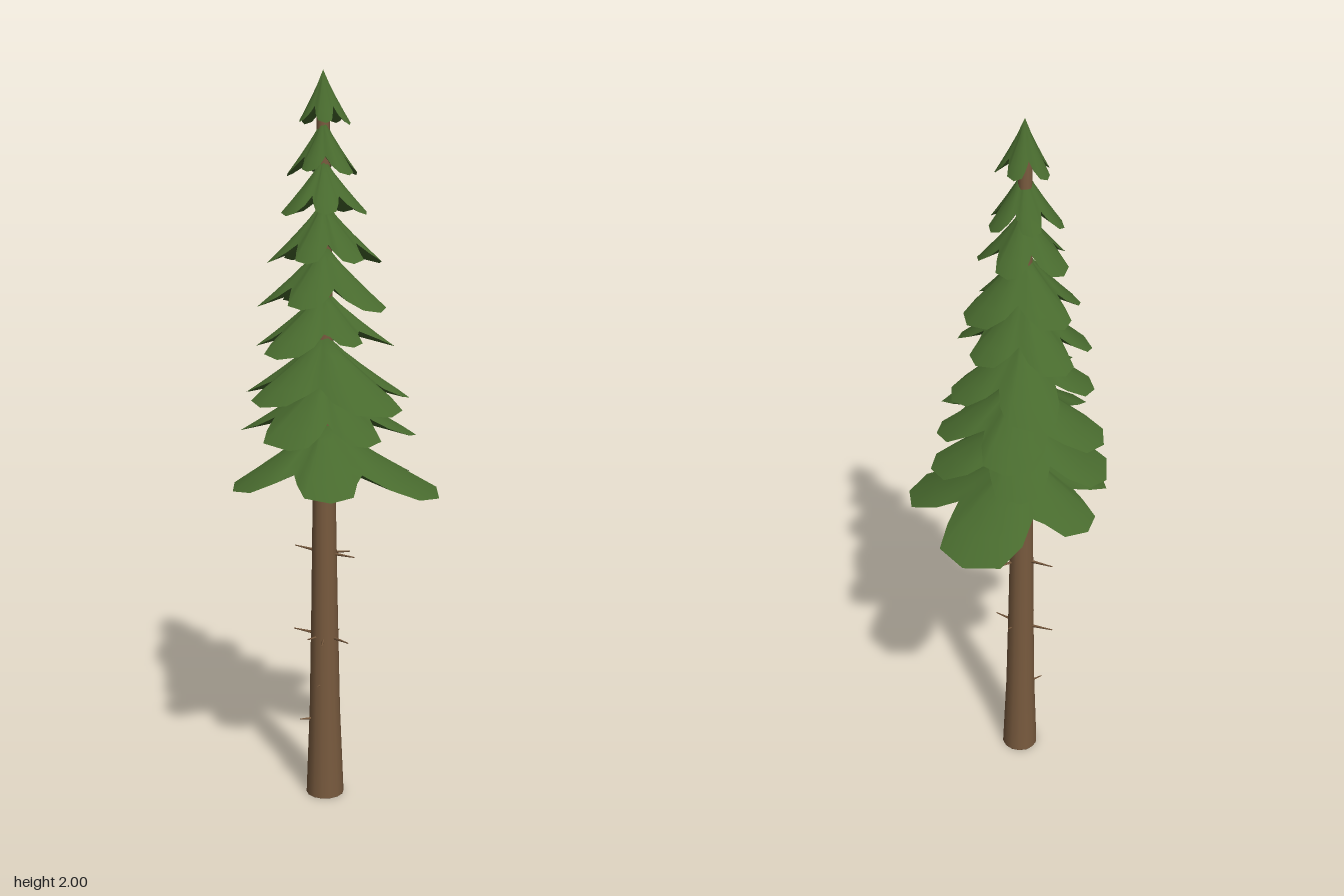
import * as THREE from 'three';

// Each tier: top height, rim height of the longest lobe, then [angle in degrees, length] of its lobes
// (0 degrees points to +x, 90 degrees to +z)
const TIERS = [
  { top: 2.0, tip: 1.86, lobes: [[-12, 0.075], [48, 0.07], [125, 0.065], [190, 0.07], [265, 0.065]] },
  { top: 1.88, tip: 1.73, lobes: [[10, 0.095], [85, 0.08], [160, 0.1], [228, 0.09], [300, 0.095]] },
  { top: 1.78, tip: 1.63, lobes: [[-15, 0.12], [52, 0.115], [105, 0.125], [190, 0.125], [262, 0.115]] },
  { top: 1.67, tip: 1.5, lobes: [[20, 0.14], [72, 0.14], [140, 0.15], [200, 0.155], [300, 0.165]] },
  { top: 1.56, tip: 1.385, lobes: [[2, 0.187], [75, 0.16], [150, 0.18], [205, 0.18], [290, 0.16]] },
  { top: 1.44, tip: 1.27, lobes: [[20, 0.14], [88, 0.215], [158, 0.19], [235, 0.22], [308, 0.2]] },
  { top: 1.32, tip: 1.13, lobes: [[17, 0.285], [100, 0.23], [172, 0.23], [252, 0.235], [325, 0.23]] },
  { top: 1.21, tip: 1.04, lobes: [[-38, 0.25], [25, 0.23], [76, 0.24], [174, 0.245], [243, 0.22]] },
  { top: 1.09, tip: 0.89, lobes: [[-90, 0.325], [-16, 0.325], [50, 0.245], [124, 0.26], [192, 0.235]] },
];
const AXIS = [-0.036, 0.043];

// Outline of a tier: a valley, two side points, two shoulders and a tip for every lobe
function tierRim({ top, tip, lobes }) {
  const longest = Math.max(...lobes.map((l) => l[1]));
  const n = lobes.length;
  const rim = [];
  const add = (deg, r, drop) => {
    const a = THREE.MathUtils.degToRad(deg);
    rim.push({ x: Math.cos(a) * r, z: Math.sin(a) * r, drop: (top - tip) * drop });
  };
  const list = [...lobes].sort((a, b) => a[0] - b[0]);
  list.forEach(([angle, len], i) => {
    const next = list[(i + 1) % n];
    const prev = list[(i + n - 1) % n];
    const gapNext = (next[0] - angle + 360) % 360;
    const gapPrev = (angle - prev[0] + 360) % 360;
    const f = 0.6 + 0.4 * (len / longest);
    add(angle - gapPrev * 0.37, len * 0.74, 0.82 * f);
    add(angle - gapPrev * 0.23, len * 0.94, 0.95 * f);
    add(angle, len, f);
    add(angle + gapNext * 0.23, len * 0.94, 0.95 * f);
    add(angle + gapNext * 0.37, len * 0.74, 0.82 * f);
    add(angle + gapNext * 0.5, (len + next[1]) * 0.29, 0.66);
  });
  return rim;
}

function makeGeometry(positions, index) {
  const g = new THREE.BufferGeometry();
  g.setAttribute('position', new THREE.Float32BufferAttribute(positions, 3));
  g.setIndex(index);
  g.computeVertexNormals();
  return g;
}

// Upper skin: rings running from the peak down to the lobed rim
function skirtGeometry(tier, rim) {
  const rings = 4, n = rim.length;
  const pos = [0, tier.top, 0], index = [];
  for (let k = 1; k <= rings; k++) {
    const t = k / rings;
    for (const p of rim) pos.push(p.x * t, tier.top - p.drop * t ** 0.88, p.z * t);
  }
  const id = (k, i) => 1 + (k - 1) * n + (i % n);
  for (let i = 0; i < n; i++) {
    index.push(0, id(1, i + 1), id(1, i));
    for (let k = 1; k < rings; k++) {
      index.push(id(k, i), id(k, i + 1), id(k + 1, i));
      index.push(id(k, i + 1), id(k + 1, i + 1), id(k + 1, i));
    }
  }
  return makeGeometry(pos, index);
}

// Shallow underside closing the tier
function undersideGeometry(tier, rim) {
  const n = rim.length;
  const pos = [0, tier.top - (tier.top - tier.tip) * 0.62, 0], index = [];
  rim.forEach((p, i) => {
    pos.push(p.x, tier.top - p.drop, p.z);
    index.push(0, 1 + i, 1 + ((i + 1) % n));
  });
  return makeGeometry(pos, index);
}

// Dead twigs: height, angle in degrees, reach from the trunk axis, rise
const TWIGS = [
  [0.225, 122, 0.075, 0.005],
  [0.33, 75, 0.055, 0.005],
  [0.47, 172, 0.098, 0.004],
  [0.47, 8, 0.09, -0.004],
  [0.47, 95, 0.07, 0.004],
  [0.47, 60, 0.075, -0.008],
  [0.47, -70, 0.05, 0.006],
  [0.71, 178, 0.098, 0.005],
  [0.71, -15, 0.088, -0.007],
  [0.71, -55, 0.075, -0.005],
];

export function createModel() {
  const bark = new THREE.MeshStandardMaterial({ color: 0x785a3e });
  bark.name = 'bark brown';
  const needles = new THREE.MeshStandardMaterial({ color: 0x486a2e, side: THREE.DoubleSide });
  needles.name = 'needle green';

  const tree = new THREE.Group();
  tree.name = 'coniferTree';
  const addMesh = (parent, name, geometry, material) => {
    const mesh = new THREE.Mesh(geometry, material);
    mesh.name = name;
    parent.add(mesh);
    return mesh;
  };

  // Trunk with a flared foot and a closed base
  const profile = [[0, 0], [0.053, 0], [0.053, 0.001], [0.043, 0.25], [0.037, 0.55], [0.031, 0.92], [0.024, 1.4], [0.017, 1.9], [0, 1.95]]
    .map(([r, y]) => new THREE.Vector2(r, y));
  const trunk = addMesh(tree, 'trunk', new THREE.LatheGeometry(profile, 14), bark);
  trunk.position.set(-0.041, 0, 0.037);

  // Twig stubs on the bare trunk
  const twigs = new THREE.Group();
  twigs.name = 'twigs';
  twigs.position.copy(trunk.position);
  tree.add(twigs);
  for (const [y, deg, reach, rise] of TWIGS) {
    const a = THREE.MathUtils.degToRad(deg);
    const dir = new THREE.Vector3(Math.cos(a) * reach, rise, Math.sin(a) * reach);
    const twig = addMesh(twigs, 'twig', new THREE.CylinderGeometry(0.0015, 0.006, dir.length(), 5), bark);
    twig.position.set(dir.x / 2, y + rise / 2, dir.z / 2);
    twig.quaternion.setFromUnitVectors(new THREE.Vector3(0, 1, 0), dir.normalize());
  }

  // Stacked needle tiers
  TIERS.forEach((tier, i) => {
    const group = new THREE.Group();
    group.name = `needleTier${i + 1}`;
    group.position.set(AXIS[0], 0, AXIS[1]);
    const rim = tierRim(tier);
    addMesh(group, 'needleSkirt', skirtGeometry(tier, rim), needles);
    addMesh(group, 'needleUnderside', undersideGeometry(tier, rim), needles);
    tree.add(group);
  });
  return tree;
}
